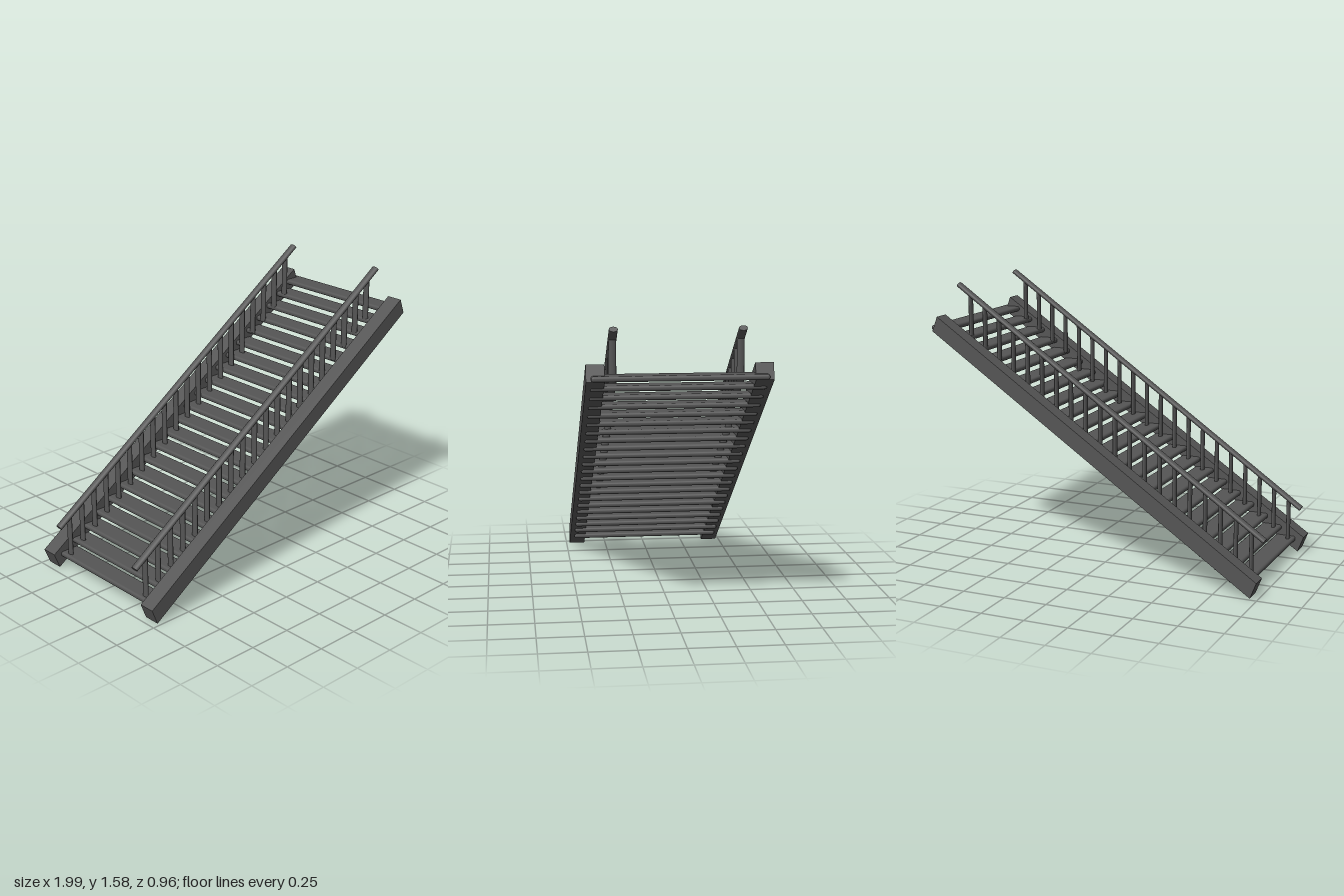
import * as THREE from 'three';
import { RoundedBoxGeometry } from 'three/addons/geometries/RoundedBoxGeometry.js';

const material = new THREE.MeshStandardMaterial({ color: 0x555555 });

function add(parent, name, geometry, x = 0, y = 0, z = 0) {
  const mesh = new THREE.Mesh(geometry, material);
  mesh.name = name;
  mesh.position.set(x, y, z);
  parent.add(mesh);
  return mesh;
}

const TREADS = 22, BALUSTERS = 20;
const treadX = (i) => -0.88 + i * 0.0864;   // tread centres
const treadY = (i) => 0.076 + i * 0.0597;
const railStart = new THREE.Vector2(-0.985, 0.281);
const railEnd = new THREE.Vector2(0.874, 1.57);
const railY = (x) => railStart.y + (x - railStart.x) * (railEnd.y - railStart.y) / (railEnd.x - railStart.x);

export function createModel() {
  const group = new THREE.Group();
  group.name = 'staircase';

  // Sloping side beams with raked ends
  const outline = new THREE.Shape([
    new THREE.Vector2(-0.955, 0), new THREE.Vector2(0.97, 1.315),
    new THREE.Vector2(0.938, 1.4), new THREE.Vector2(-0.99, 0.09),
  ]);
  const stringer = new THREE.ExtrudeGeometry(outline, { depth: 0.095, bevelEnabled: false });
  stringer.translate(0, 0, -0.0475);

  // Open treads with rounded edges, let into the beams
  const tread = new RoundedBoxGeometry(0.12, 0.03, 0.91, 3, 0.013);
  for (let i = 0; i < TREADS; i++) add(group, 'tread', tread, treadX(i), treadY(i), 0);

  // Handrail: oval bar along the slope
  const dx = railEnd.x - railStart.x, dy = railEnd.y - railStart.y;
  const rail = new THREE.CylinderGeometry(1, 1, Math.hypot(dx, dy), 16);
  rail.scale(0.015, 1, 0.023);
  rail.rotateZ(Math.atan2(dy, dx) - Math.PI / 2);

  for (const side of [-1, 1]) {
    add(group, 'stringer', stringer, 0, 0, side * 0.4325);
    add(group, 'handrail', rail, (railStart.x + railEnd.x) / 2, (railStart.y + railEnd.y) / 2, side * 0.333);

    // Oval balusters from tread to handrail
    for (let i = 0; i < BALUSTERS; i++) {
      const x = -0.91 + i * 0.09;
      const step = Math.floor((x + 0.94) / 0.0864);
      const bottom = treadY(step), top = railY(x);
      const baluster = new THREE.CylinderGeometry(1, 1, top - bottom, 12);
      baluster.scale(0.011, 1, 0.02);
      add(group, 'baluster', baluster, x, (top + bottom) / 2, side * 0.333);
    }
  }
  return group;
}
